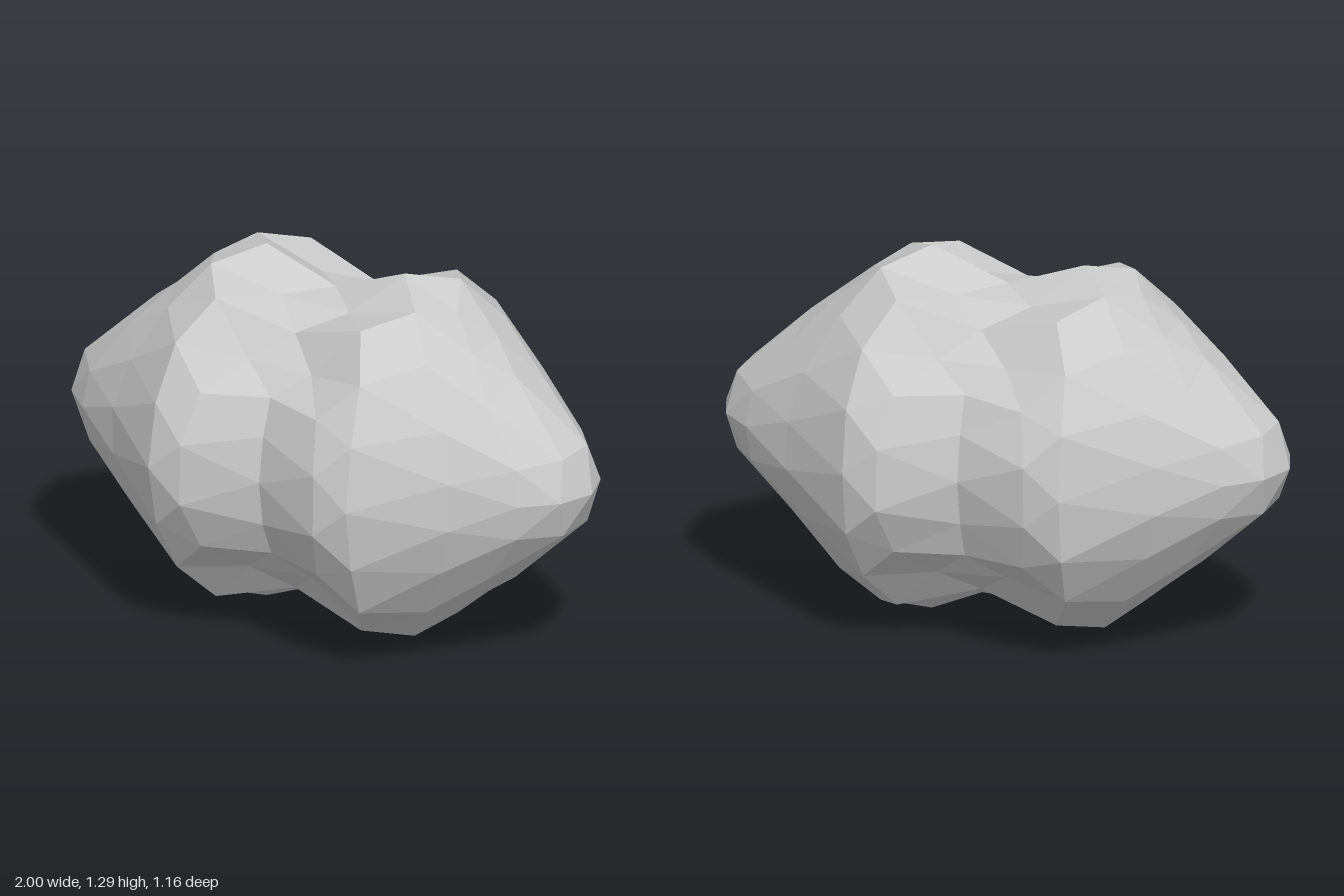
import * as THREE from 'three';

// Piecewise linear lookup through [input, output] pairs in rising order
function lookup(pairs, v) {
  for (let i = 1; i < pairs.length; i++) {
    const [a, fa] = pairs[i - 1], [b, fb] = pairs[i];
    if (v <= b) return THREE.MathUtils.mapLinear(v, a, b, fa, fb);
  }
  return pairs[pairs.length - 1][1];
}

// Where each ring of the ball lands along the long axis, for the y and z sides
const alongY = [[0, 0], [0.16, 0.13], [0.295, 0.27], [0.526, 0.475], [0.851, 0.7], [0.946, 0.92], [1, 1]];
const alongZ = [[0, 0], [0.16, 0.13], [0.27, 0.27], [0.526, 0.385], [0.851, 0.85], [0.955, 0.955], [1, 1]];

// Radius along the long axis: narrow waist, full shoulder, pointed tip
const radius = [[0, 0.54], [0.14, 0.54], [0.27, 0.64], [0.385, 0.62], [0.475, 0.545],
  [0.7, 0.36], [0.85, 0.25], [0.93, 0.165], [0.96, 0.135], [1, 0]];

export function createModel() {
  const group = new THREE.Group();
  group.name = 'twoLobedRock';

  // Faceted ball reshaped into two pointed lobes joined at a waist
  const geo = new THREE.IcosahedronGeometry(1, 3);
  const pos = geo.attributes.position;
  const n = new THREE.Vector3();
  for (let i = 0; i < pos.count; i++) {
    n.fromBufferAttribute(pos, i).normalize();
    const ax = Math.min(1, Math.abs(n.x));
    const side = Math.hypot(n.y, n.z);
    const w = side > 1e-5 ? (n.y / side) ** 2 : 0;
    const x = THREE.MathUtils.lerp(lookup(alongZ, ax), lookup(alongY, ax), w);
    // Slight unevenness, fading at the tips
    const bump = 1 + 0.018 * Math.sin(7 * n.x + 5 * n.y + 1) * Math.sin(6 * n.z - 4 * n.y + 2 * n.x);
    const r = side > 1e-5 ? lookup(radius, x) * bump / side : 0;
    pos.setXYZ(i, Math.sign(n.x) * x, 0.642 + n.y * r, n.z * r * 0.92);
  }
  geo.deleteAttribute('uv');
  geo.computeVertexNormals();

  const rock = new THREE.Mesh(geo, new THREE.MeshStandardMaterial({ color: 0xcccccc, flatShading: true }));
  rock.name = 'rock';
  group.add(rock);
  return group;
}
